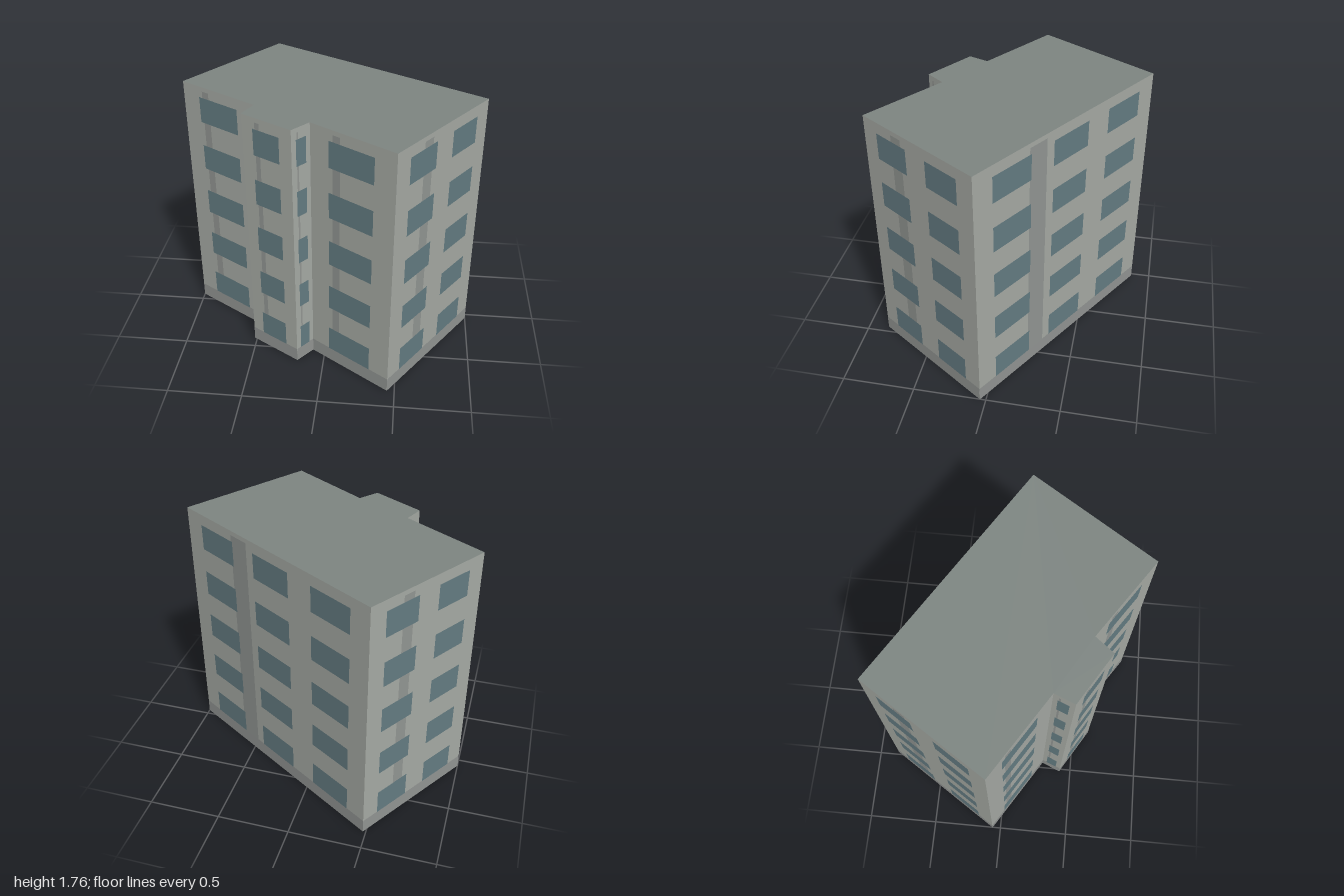
import * as THREE from 'three';

const HEIGHT = 1.765;
const FLOORS = 5;
const STOREY = 0.3525;

// Footprint corners [x, z], walked left to right as seen from outside,
// with the window spans of the wall starting at each corner (fractions of its length)
const ONE = [[0.23, 0.76]];
const TWO = [[0.13, 0.41], [0.59, 0.867]];
const THREE_WIDE = [[0.09, 0.283], [0.403, 0.597], [0.717, 0.911]];
const WALLS = [
  { name: 'frontLeftWall', at: [-1, -0.06], windows: ONE },
  { name: 'bayLeftWall', at: [-0.46, 0.28], windows: ONE },
  { name: 'bayFrontWall', at: [-0.516, 0.415], windows: ONE },
  { name: 'bayRightWall', at: [-0.18, 0.62], windows: ONE },
  { name: 'frontRightWall', at: [-0.083, 0.5], windows: ONE },
  { name: 'rightWall', at: [0.45, 0.857], windows: TWO },
  { name: 'backWall', at: [1, 0.04], windows: THREE_WIDE },
  { name: 'leftWall', at: [-0.48, -0.86], windows: TWO },
];

const mat = (color, side = THREE.FrontSide) => new THREE.MeshStandardMaterial({ color, side });

export function createModel() {
  const model = new THREE.Group();
  model.name = 'apartmentBlock';

  const wallMat = mat(0xa6aaa4, THREE.DoubleSide);
  const plinthMat = mat(0x929593);
  const stripMat = mat(0x929693);
  const glassMat = mat(0x647c82);

  // Flat panel in a wall's own frame: x along the wall, y up, z outward
  const panel = (parent, name, material, x0, x1, y0, y1, z) => {
    const mesh = new THREE.Mesh(new THREE.PlaneGeometry(x1 - x0, y1 - y0), material);
    mesh.position.set((x0 + x1) / 2, (y0 + y1) / 2, z);
    mesh.name = name;
    parent.add(mesh);
  };

  WALLS.forEach(({ name, at, windows }, i) => {
    const next = WALLS[(i + 1) % WALLS.length].at;
    const dx = next[0] - at[0];
    const dz = next[1] - at[1];
    const len = Math.hypot(dx, dz);

    const wall = new THREE.Group();
    wall.name = name;
    wall.position.set(at[0], 0, at[1]);
    wall.rotation.y = Math.atan2(-dz, dx);
    model.add(wall);

    panel(wall, 'wallFace', wallMat, 0, len, 0, HEIGHT, 0);
    panel(wall, 'plinth', plinthMat, 0, len, 0, 0.1, 0.001);
    // Vertical strip running behind the windows
    panel(wall, 'wallStrip', stripMat, 0.275 * len, 0.365 * len, 0.1, 1.735, 0.002);

    for (let floor = 0; floor < FLOORS; floor++) {
      const y = 0.1 + floor * STOREY;
      for (const [a, b] of windows) {
        panel(wall, 'window', glassMat, a * len, b * len, y, y + 0.18, 0.003);
      }
    }
  });

  // Flat roof over the whole footprint
  const outline = new THREE.Shape(WALLS.map(({ at }) => new THREE.Vector2(at[0], -at[1])));
  const roof = new THREE.Mesh(
    new THREE.ShapeGeometry(outline).rotateX(-Math.PI / 2),
    mat(0x7d8581, THREE.DoubleSide)
  );
  roof.position.y = HEIGHT;
  roof.name = 'roof';
  model.add(roof);

  return model;
}
